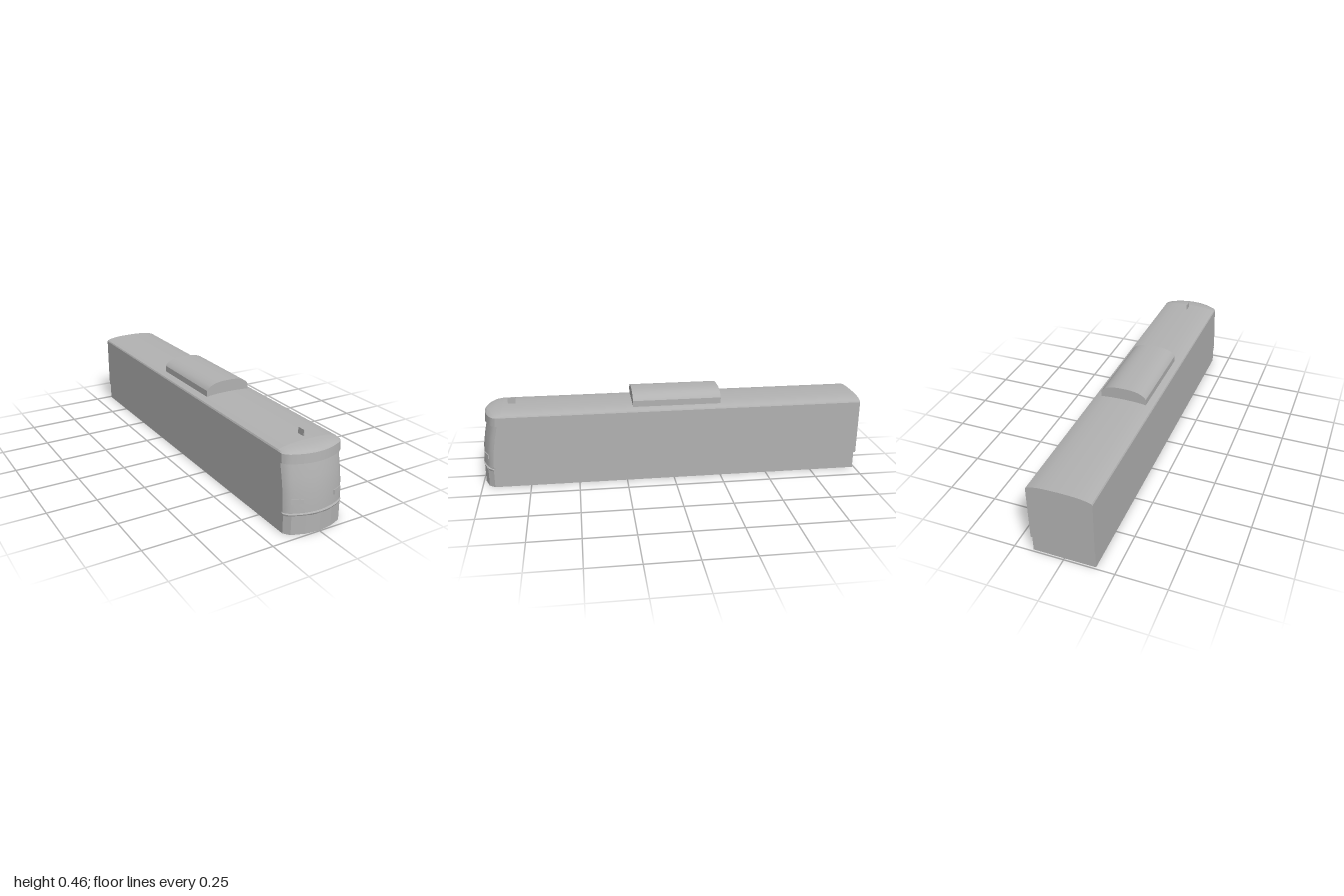
import * as THREE from 'three';
import { toCreasedNormals } from 'three/addons/utils/BufferGeometryUtils.js';

const HALF = 0.158, NOSE = 0.88, FLOOR = 0.09, EAVE = 0.377;

// Half roof arc, from eave to centre
const ROOF = [[HALF, EAVE], [0.154, 0.384], [0.134, 0.391], [0.1, 0.397], [0.055, 0.4], [0, 0.401]];

const mirrored = pts => [...pts, ...pts.slice(0, -1).reverse().map(([x, y]) => [-x, y])];
const toShape = pts => new THREE.Shape(pts.map(p => new THREE.Vector2(...p)));

function roofY(x) {
  const a = Math.abs(x);
  for (let i = 0; i < ROOF.length - 1; i++) {
    const [x0, y0] = ROOF[i], [x1, y1] = ROOF[i + 1];
    if (a >= x1) return y0 + (y1 - y0) * (x0 - a) / (x0 - x1);
  }
  return EAVE;
}

// How far the bowed front falls back away from the centre line
function setback(x) {
  const a = Math.abs(x);
  return a <= 0.133 ? 0.035 * (a / 0.133) ** 2 : 0.035 + 0.027 * ((a - 0.133) / 0.025) ** 1.5;
}

export function createModel() {
  const model = new THREE.Group();
  const grey = new THREE.MeshStandardMaterial({ color: 0xb2b2b2, side: THREE.DoubleSide });
  grey.name = 'grey';

  const add = (name, geometry, x = 0, y = 0, z = 0) => {
    const mesh = new THREE.Mesh(geometry, grey);
    mesh.name = name;
    mesh.position.set(x, y, z);
    model.add(mesh);
    return mesh;
  };
  const extrude = (shape, depth) =>
    toCreasedNormals(new THREE.ExtrudeGeometry(shape, { depth, bevelEnabled: false }), 0.4);

  // Long body with arched roof and flat rear
  add('body', extrude(toShape([[HALF, FLOOR], ...mirrored(ROOF), [-HALF, FLOOR]]), NOSE + 1), 0, 0, -1);

  // Nose: rows of [y, centre z, blend to roof arc, share of bow]
  const rows = [
    [0.09, 0.996, 0, 1], [0.099, 1, 0, 1], [0.101, 0.988, 0, 1], [0.106, 0.988, 0, 1],
    [0.108, 0.996, 0, 1], [0.123, 0.995, 0, 1], [0.2, 0.989, 0, 1], [0.27, 0.977, 0, 1],
    [0.332, 0.963, 0, 1], [0.333, 0.974, 0, 1], [EAVE, 0.97, 0, 1],
    [EAVE, 0.962, 0.35, 1], [EAVE, 0.945, 0.65, 0.9], [EAVE, 0.915, 0.88, 0.55], [EAVE, NOSE, 1, 0],
  ];
  const half = [0, 0.025, 0.05, 0.075, 0.1, 0.12, 0.133, 0.145, 0.153, HALF];
  const xs = [...half.slice(1).reverse().map(x => -x), ...half];
  const columns = [[-HALF, true], ...xs.map(x => [x, false]), [HALF, true]];
  const pos = [], index = [], n = columns.length;
  rows.forEach(([y, z, t, bow], j) => columns.forEach(([x, back], i) => {
    pos.push(x, y + (roofY(x) - y) * t, back ? NOSE : z - setback(x) * bow);
    if (i && j) {
      const c = j * n + i, a = c - n - 1;
      index.push(a, a + 1, c, a, c, c - 1);
    }
  }));
  const nose = new THREE.BufferGeometry();
  nose.setAttribute('position', new THREE.Float32BufferAttribute(pos, 3));
  nose.setIndex(index);
  add('nose', toCreasedNormals(nose, 0.4));

  // Hollow skirt, open underneath, with a faceted solid front
  const skirt = toShape([[0.156, -0.99], [0.156, 0.935], [0.133, 0.965], [0.07, 0.988], [0, 0.998],
    [-0.07, 0.988], [-0.133, 0.965], [-0.156, 0.935], [-0.156, -0.99]]);
  skirt.holes.push(new THREE.Path([[-0.153, -0.987], [-0.153, 0.925], [0.153, 0.925], [0.153, -0.987]]
    .map(p => new THREE.Vector2(...p))));
  const skirtGeometry = new THREE.ExtrudeGeometry(skirt, { depth: FLOOR + 0.003, bevelEnabled: false });
  skirtGeometry.rotateX(Math.PI / 2).scale(1, 1, 1).translate(0, FLOOR + 0.003, 0);
  add('skirt', toCreasedNormals(skirtGeometry, 0.2));

  // Floor under the nose
  add('noseFloor', new THREE.BoxGeometry(0.3, 0.004, 0.06), 0, FLOOR + 0.003, 0.905);

  // Roof unit with rounded top
  const pod = mirrored([[0.12, 0.39], [0.12, 0.425], [0.113, 0.435], [0.098, 0.446],
    [0.075, 0.456], [0.05, 0.461], [0.025, 0.463], [0, 0.463]]);
  add('roofUnit', extrude(toShape(pod), 0.46), 0, 0, -0.25);

  // Antenna fin
  add('antenna', new THREE.BoxGeometry(0.004, 0.035, 0.04), 0, 0.414, 0.832);

  // Headlights following the bowed front
  for (const s of [-1, 1]) {
    const x = 0.108;
    const light = add('headlight', new THREE.BoxGeometry(0.056, 0.022, 0.008), s * x, 0.161, 0.9915 - setback(x));
    light.rotation.set(-0.08, s * 0.4, 0, 'YXZ');
  }
  return model;
}
